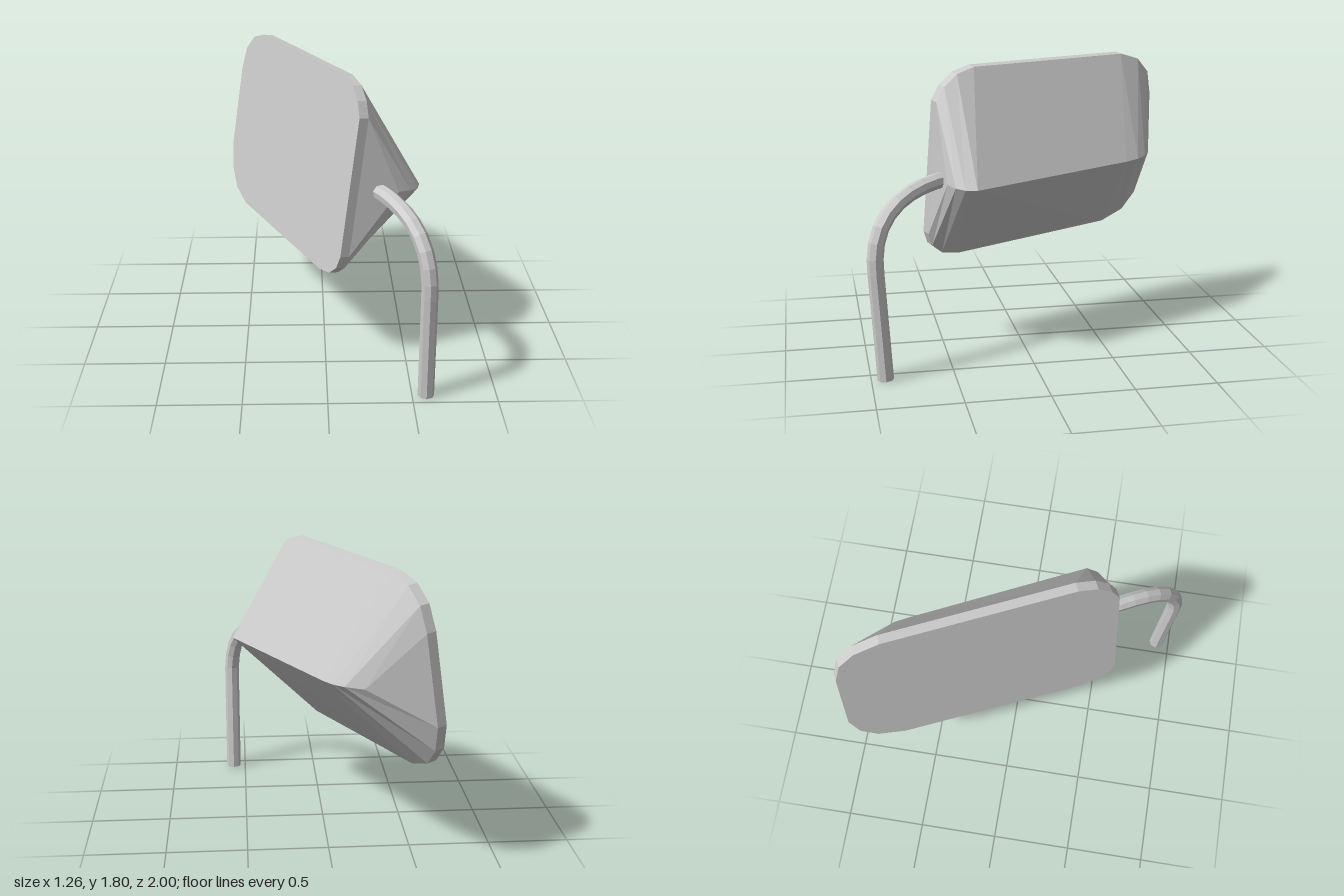
import * as THREE from 'three';

const V = (x, y, z) => new THREE.Vector3(x, y, z);

// Low-poly surface from a list of triangles (each three Vector3)
function surface(name, tris, material) {
  const pts = tris.filter(([a, b, c]) => !a.equals(b) && !b.equals(c) && !c.equals(a)).flat();
  const geo = new THREE.BufferGeometry().setFromPoints(pts);
  geo.computeVertexNormals();
  const mesh = new THREE.Mesh(geo, material);
  mesh.name = name;
  return mesh;
}

// Triangles joining two closed rings of equal length
function loft(a, b) {
  return a.flatMap((p, i) => {
    const j = (i + 1) % a.length;
    return [[p, b[i], b[j]], [p, b[j], a[j]]];
  });
}

// Triangles filling a flat convex ring
function fan(ring) {
  return ring.slice(2).map((p, i) => [ring[0], ring[i + 1], p]);
}

export function createModel() {
  const group = new THREE.Group();
  const material = new THREE.MeshStandardMaterial({
    color: 0xcccccc, flatShading: true, side: THREE.DoubleSide,
  });

  // Rounded outline (z, y) laid on the tilted mirror plane
  const outline = [
    [0.41, 0.595], [0.53, 0.62], [0.595, 0.68], [0.62, 0.76],
    [0.57, 1.6], [0.52, 1.69], [0.44, 1.76], [0.33, 1.795],
    [-0.72, 1.79], [-0.86, 1.745], [-0.945, 1.65], [-0.975, 1.5],
    [-0.96, 0.95], [-0.905, 0.79], [-0.81, 0.68], [-0.65, 0.62],
  ];
  const front = outline.map(([z, y]) => V((0.14 * y + 0.42 * z - 0.293) / 0.9, y, z));
  const back = front.map((p) => p.clone().add(V(0.054, -0.008, -0.025)));

  // Ridge of the wedge-shaped housing, rounded off at both ends
  const near = [V(0.565, 1.12, 0.35), V(0.55, 1.12, 0.42), V(0.505, 1.125, 0.47), V(0.43, 1.13, 0.51)];
  const far = [V(0.05, 1.14, -0.69), V(0, 1.145, -0.78), V(-0.06, 1.15, -0.845), V(-0.17, 1.15, -0.9)];
  const thereAndBack = (list) => [...list, ...[...list].reverse()];
  const ridge = [...thereAndBack(near), ...thereAndBack(far)];

  group.add(
    surface('mirrorFace', fan(front), material),
    surface('rim', loft(front, back), material),
    surface('housing', loft(back, ridge), material),
  );

  // Bent support arm: straight stem, then a curve into the housing
  const path = new THREE.CurvePath();
  const bend = V(0.58, 0.68, 0.955);
  path.add(new THREE.LineCurve3(V(0.582, 0, 0.915), bend));
  path.add(new THREE.CubicBezierCurve3(bend, V(0.58, 0.95, 0.97), V(0.5, 1.13, 0.83), V(0.3, 1.14, 0.5)));
  const tube = new THREE.TubeGeometry(path, 16, 0.049, 8, false);
  const arm = new THREE.Mesh(tube, material);
  arm.name = 'supportArm';

  // Flat end cap under the stem
  const ring = Array.from({ length: 8 }, (_, i) => V().fromBufferAttribute(tube.attributes.position, i));
  group.add(arm, surface('armEndCap', fan(ring), material));

  return group;
}
